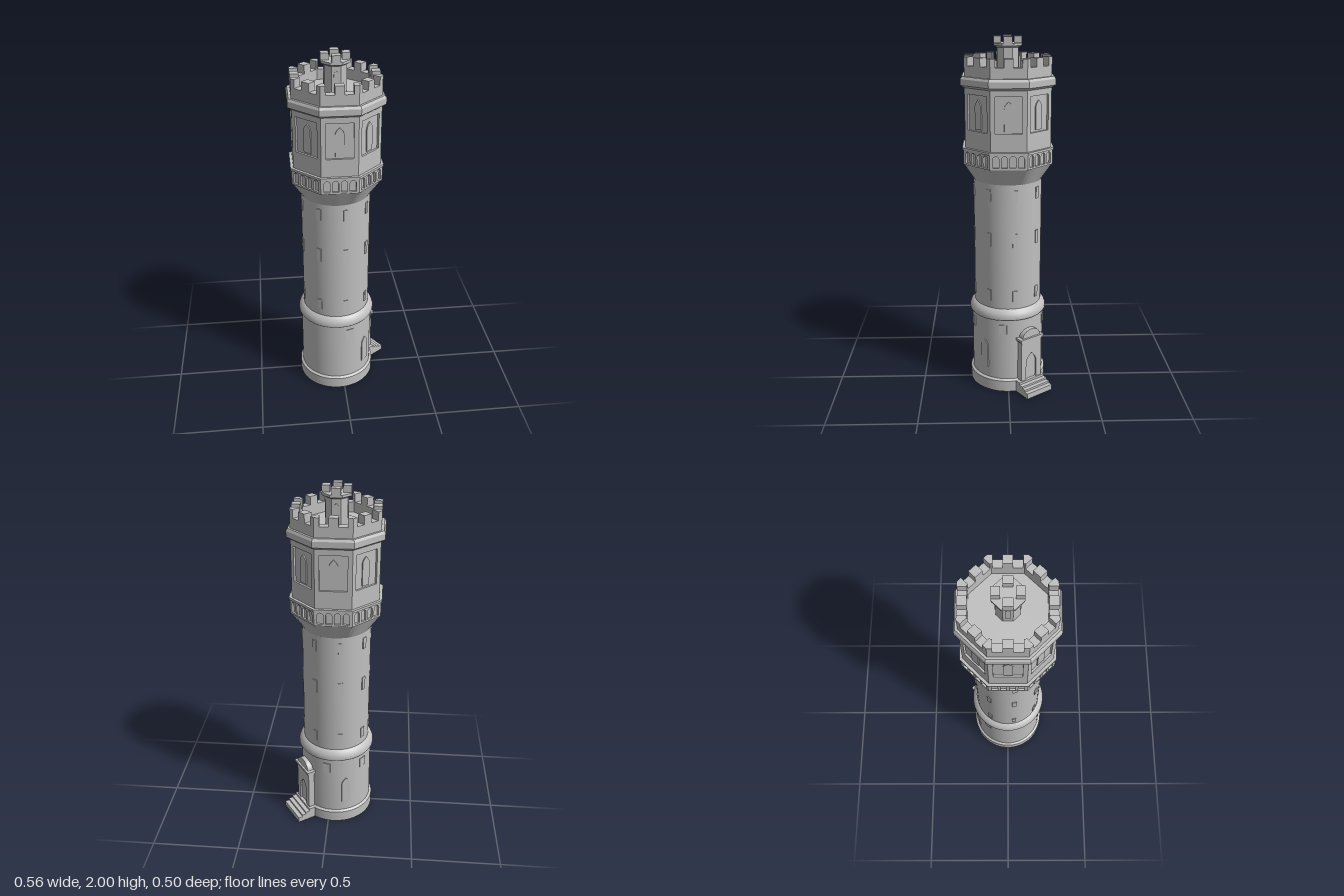
import * as THREE from 'three';
import { toCreasedNormals, mergeGeometries } from 'three/addons/utils/BufferGeometryUtils.js';

const RAD = Math.PI / 180;
const TAN8 = Math.tan(Math.PI / 8);
const COS8 = Math.cos(Math.PI / 8);

export function createModel() {
  const stone = new THREE.MeshStandardMaterial({ color: 0xc0c0c0 });
  stone.name = 'stone';

  const model = new THREE.Group();
  model.name = 'tower';
  const tower = new THREE.Group();
  tower.name = 'towerBody';
  tower.position.x = -0.03;
  model.add(tower);

  const add = (name, geo, parent = tower) => {
    const m = new THREE.Mesh(geo, stone);
    m.name = name;
    parent.add(m);
    return m;
  };
  // Turns a part so that its +z points at the given angle (0 = front, 90 = left)
  const addAt = (name, geo, deg) => { add(name, geo).rotation.y = deg * RAD; };

  const flat = (g) => {
    const n = g.index ? g.toNonIndexed() : g;
    n.computeVertexNormals();
    return n;
  };
  const round = (pts) => toCreasedNormals(
    new THREE.LatheGeometry(pts.map(([r, y]) => new THREE.Vector2(r, y)), 64), 0.5);
  // Octagonal frustum given by its apothems
  const octagon = (a0, a1, y0, y1) => flat(
    new THREE.CylinderGeometry(a1 / COS8, a0 / COS8, y1 - y0, 8, 1, false, Math.PI / 8)
      .translate(0, (y0 + y1) / 2, 0));
  const box = (w, y0, y1, z0, z1) => new THREE.BoxGeometry(w, y1 - y0, z1 - z0)
    .translate(0, (y0 + y1) / 2, (z0 + z1) / 2);

  // Pointed or round arch outline, usable as shape or hole
  const arch = (Type, x, w, y0, y1, pointed = true) => {
    const s = new Type(), h = w / 2, spring = y1 - (pointed ? w * 0.85 : h);
    s.moveTo(x - h, y0);
    s.lineTo(x + h, y0);
    s.lineTo(x + h, spring);
    if (pointed) {
      s.quadraticCurveTo(x + h, spring + w * 0.45, x, y1);
      s.quadraticCurveTo(x - h, spring + w * 0.45, x - h, spring);
    } else {
      s.absarc(x, spring, h, 0, Math.PI, false);
    }
    s.closePath();
    return s;
  };
  const rect = (Type, w, y0, y1) => {
    const s = new Type();
    s.moveTo(-w / 2, y0);
    s.lineTo(w / 2, y0);
    s.lineTo(w / 2, y1);
    s.lineTo(-w / 2, y1);
    s.closePath();
    return s;
  };
  const plate = (shape, z0, z1) => new THREE.ExtrudeGeometry(shape,
    { depth: z1 - z0, bevelEnabled: false, curveSegments: 8 }).translate(0, 0, z0);
  // Extrudes a plan of [x, z] points upward
  const rise = (pts, y0, y1, hole) => {
    const toV = ([x, z]) => new THREE.Vector2(x, -z);
    const s = new THREE.Shape(pts.map(toV));
    if (hole) s.holes.push(new THREE.Path(hole.map(toV)));
    return new THREE.ExtrudeGeometry(s, { depth: y1 - y0, bevelEnabled: false })
      .rotateX(-Math.PI / 2).translate(0, y0, 0);
  };

  // Round foot, belt ring and shaft
  add('base', round([[0, 0], [0.22, 0], [0.22, 0.066], [0.206, 0.075], [0.205, 0.445]]));
  add('beltRing', round([[0.2, 0.442], [0.214, 0.448], [0.22, 0.458], [0.22, 0.472],
    [0.213, 0.49], [0.2, 0.505], [0.188, 0.512]]));
  add('shaft', round([[0.19, 0.5], [0.19, 1.24]]));

  // Corbel that turns the round shaft into an octagon
  const corbel = new THREE.CylinderGeometry(1, 1, 0.095, 64, 1, true).translate(0, 1.2825, 0);
  const p = corbel.attributes.position;
  for (let i = 0; i < p.count; i++) {
    const a = Math.atan2(p.getX(i), p.getZ(i));
    const off = a - Math.round(a / (Math.PI / 4)) * Math.PI / 4;
    const r = p.getY(i) > 1.28 ? 0.236 / Math.cos(off) : 0.19;
    p.setXYZ(i, Math.sin(a) * r, p.getY(i), Math.cos(a) * r);
  }
  add('corbel', toCreasedNormals(corbel, 0.25));

  // Octagonal head
  add('arcadeCore', octagon(0.228, 0.228, 1.33, 1.41));
  add('arcadeMoulding', octagon(0.245, 0.245, 1.41, 1.423));
  add('headCore', octagon(0.219, 0.219, 1.42, 1.75));
  add('corniceFlare', octagon(0.232, 0.25, 1.742, 1.755));
  add('cornice', octagon(0.25, 0.25, 1.755, 1.787));
  add('corniceTop', octagon(0.25, 0.242, 1.787, 1.8));

  const arcade = rect(THREE.Shape, 0.48 * TAN8, 1.33, 1.412);
  for (let i = 0; i < 4; i++) {
    arcade.holes.push(arch(THREE.Path, (i - 1.5) * 0.045, 0.032, 1.34, 1.403, false));
  }
  const panel = rect(THREE.Shape, 0.46 * TAN8, 1.42, 1.75);
  panel.holes.push(rect(THREE.Path, 0.142, 1.52, 1.71));
  const arcadeGeo = plate(arcade, 0.226, 0.24);
  const panelGeo = plate(panel, 0.217, 0.23);
  const windowGeo = plate(arch(THREE.Shape, 0, 0.046, 1.53, 1.685), 0.217, 0.225);

  // Parapet with a merlon on each side and each corner
  const ring = (a) => Array.from({ length: 8 }, (_, i) => {
    const t = (i + 0.5) * Math.PI / 4;
    return [Math.sin(t) * a / COS8, Math.cos(t) * a / COS8];
  });
  add('parapet', rise(ring(0.23), 1.795, 1.855, ring(0.185)));
  const onFace = (deg, d, u) => [
    Math.sin(deg * RAD) * d + Math.cos(deg * RAD) * u,
    Math.cos(deg * RAD) * d - Math.sin(deg * RAD) * u];
  const cornerMerlon = rise([
    onFace(0, 0.23, 0.07), onFace(0, 0.23, 0.23 * TAN8), onFace(45, 0.23, -0.07),
    onFace(45, 0.185, -0.07), onFace(0, 0.185, 0.185 * TAN8), onFace(0, 0.185, 0.07),
  ], 1.854, 1.9);
  const sideMerlon = box(0.048, 1.854, 1.9, 0.185, 0.23);

  for (let i = 0; i < 8; i++) {
    addAt('arcadePanel', arcadeGeo, i * 45);
    addAt('headPanel', panelGeo, i * 45);
    addAt('headWindow', windowGeo, i * 45);
    addAt('sideMerlon', sideMerlon, i * 45);
    addAt('cornerMerlon', cornerMerlon, i * 45);
  }

  // Roof turret
  add('turret', octagon(0.057, 0.057, 1.795, 1.95));
  add('turretFlare', octagon(0.058, 0.074, 1.942, 1.952));
  add('turretCap', octagon(0.075, 0.075, 1.952, 1.965));
  for (let i = 0; i < 4; i++) {
    addAt('turretMerlon', box(0.046, 1.964, 2, 0.034, 0.075), i * 90);
    addAt('turretWindow', plate(arch(THREE.Shape, 0, 0.024, 1.83, 1.92), 0.055, 0.06), i * 90);
  }

  // Slit windows up the shaft
  for (const y of [0.555, 0.88, 1.14]) {
    const slit = box(0.026, y, y + (y === 0.88 ? 0.078 : 0.065), 0.186, 0.194);
    for (let i = 0; i < 8; i++) addAt('slitWindow', slit, 11 + i * 45);
  }

  // Base windows, mirrored about the doorway
  const DOOR = 125;
  for (const s of [-1, 1]) {
    addAt('baseWindow', plate(arch(THREE.Shape, 0, 0.052, 0.14, 0.31), 0.201, 0.209), DOOR + s * 76);
    for (const a of [44, 107.5]) {
      addAt('squareWindow', box(0.044, 0.36, 0.418, 0.201, 0.209), DOOR + s * a);
    }
  }

  // Doorway with rounded pediment and steps
  const porch = rect(THREE.Shape, 0.14, 0, 0.32);
  porch.holes.push(arch(THREE.Path, 0, 0.072, 0.07, 0.235));
  addAt('porch', plate(porch, 0.15, 0.23), DOOR);
  addAt('door', box(0.08, 0.06, 0.25, 0.19, 0.22), DOOR);
  addAt('porchCornice', mergeGeometries([
    box(0.15, 0.313, 0.323, 0.15, 0.235), box(0.162, 0.323, 0.337, 0.15, 0.241)]), DOOR);
  const pediment = new THREE.Shape();
  pediment.absellipse(0, 0.335, 0.062, 0.052, 0, Math.PI, false);
  pediment.closePath();
  addAt('pediment', toCreasedNormals(plate(pediment, 0.15, 0.23), 0.5), DOOR);
  [[0.07, 0.238], [0.056, 0.263], [0.045, 0.287], [0.033, 0.312]].forEach(([h, d]) => {
    addAt('step', box(0.179, 0, h, 0.16, d), DOOR);
  });

  return model;
}
